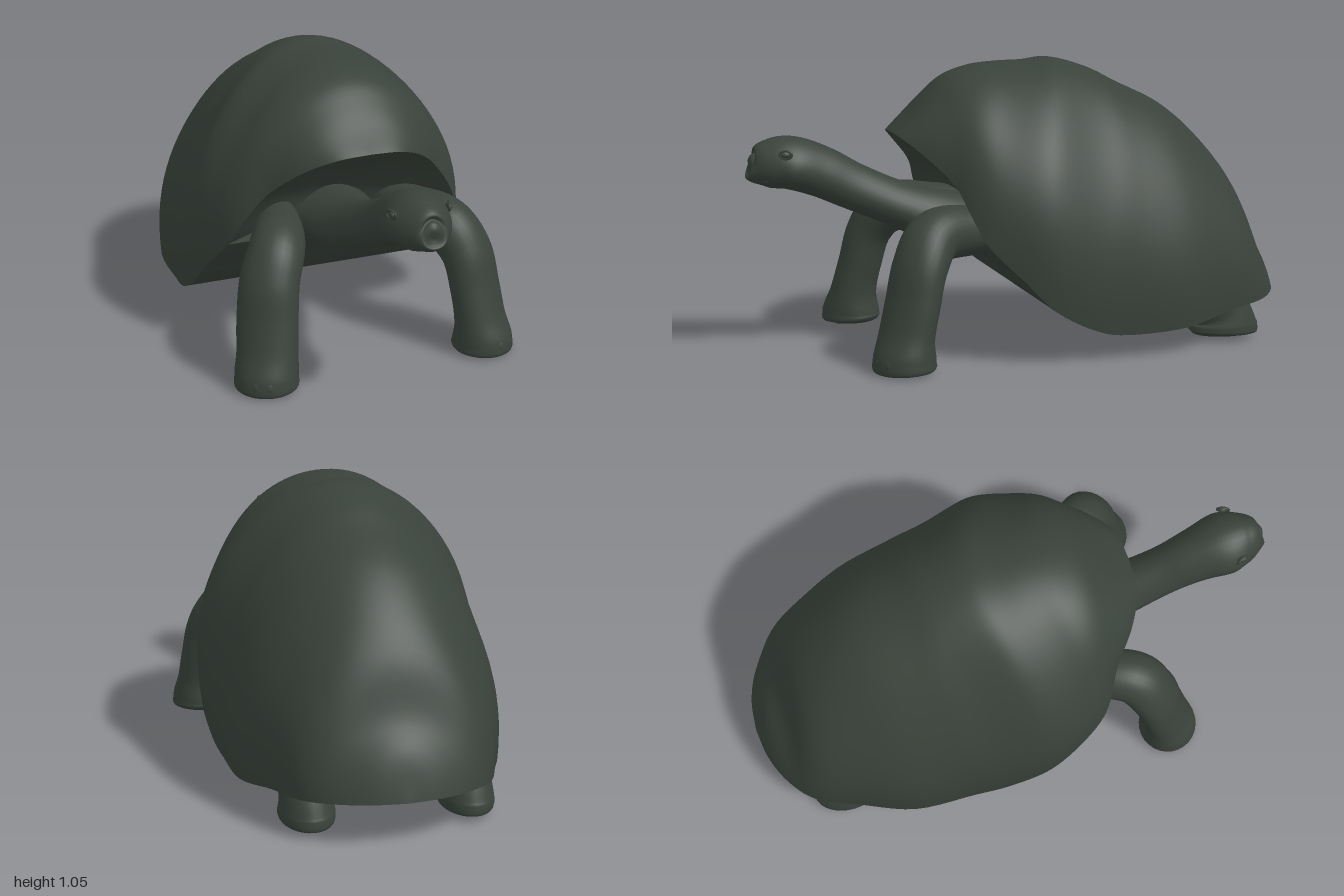
import * as THREE from 'three';
import { mergeVertices } from 'three/addons/utils/BufferGeometryUtils.js';

const skin = new THREE.MeshStandardMaterial({ color: 0x39423a, side: THREE.DoubleSide });
skin.name = 'dark grey green';

// Smooth surface from a function of (u, v)
function grid(nu, nv, point, flip = false) {
  const pos = [], idx = [];
  for (let i = 0; i <= nu; i++)
    for (let j = 0; j <= nv; j++) pos.push(...point(i / nu, j / nv));
  for (let i = 0; i < nu; i++)
    for (let j = 0; j < nv; j++) {
      const a = i * (nv + 1) + j, b = a + nv + 1;
      if (flip) idx.push(a, a + 1, b, b, a + 1, b + 1);
      else idx.push(a, b, a + 1, b, b + 1, a + 1);
    }
  let g = new THREE.BufferGeometry();
  g.setAttribute('position', new THREE.Float32BufferAttribute(pos, 3));
  g.setIndex(idx);
  g = mergeVertices(g, 1e-5);
  g.computeVertexNormals();
  return g;
}

const curve = (pts) =>
  new THREE.CatmullRomCurve3(pts.map((p) => new THREE.Vector3(...p)), false, 'catmullrom');

// Limb through rings [x, y, z, width radius, depth radius]; taper narrows the underside
function limb(rings, across, taper = 0) {
  const path = curve(rings.map((r) => r.slice(0, 3)));
  const radii = curve(rings.map((r) => [r[3], r[4], 0]));
  return grid(rings.length * 6, 28, (u, v) => {
    const c = path.getPoint(u), r = radii.getPoint(u), t = path.getTangent(u);
    const side = across.clone().addScaledVector(t, -across.dot(t)).normalize();
    const n = t.clone().cross(side);
    const a = v * Math.PI * 2;
    c.addScaledVector(side, Math.max(r.x, 0) * Math.cos(a) * (1 + taper * Math.sin(a)));
    c.addScaledVector(n, Math.max(r.y, 0) * Math.sin(a));
    return [c.x, Math.max(c.y, 0), c.z];
  }, true);
}

// Shell stations front to back: rim x, y, z, then ridge y, z, then side bulge
const stations = [
  [0, 0.795, 0.48, 0.795, 0.48, 0], [0.12, 0.785, 0.47, 0.855, 0.415, 0],
  [0.23, 0.735, 0.415, 0.93, 0.345, 0], [0.33, 0.64, 0.33, 0.995, 0.27, 0.05],
  [0.40, 0.54, 0.29, 1.03, 0.17, 0.1], [0.45, 0.43, 0.235, 1.04, 0.07, 0.2],
  [0.495, 0.31, 0.12, 1.042, -0.03, 0.25], [0.51, 0.20, 0.01, 1.05, -0.13, 0.25],
  [0.50, 0.12, -0.14, 1.01, -0.27, 0.22], [0.485, 0.092, -0.27, 0.955, -0.38, 0.2],
  [0.472, 0.10, -0.50, 0.87, -0.55, 0.12], [0.40, 0.135, -0.70, 0.75, -0.69, 0.12],
  [0.335, 0.15, -0.85, 0.60, -0.805, 0.05], [0.24, 0.16, -0.935, 0.42, -0.875, 0],
  [0.12, 0.165, -0.985, 0.31, -0.95, 0], [0, 0.165, -1, 0.165, -1, 0],
];
const rim = curve(stations.map((s) => s.slice(0, 3)));
const ridge = curve(stations.map((s) => [s[5], s[3], s[4]]));

// Domed shell with faint raised plates on its flanks
const dome = () => grid(75, 48, (u, v) => {
  const r = rim.getPoint(u), top = ridge.getPoint(u);
  const a = v * Math.PI, s = Math.sin(a), c = Math.cos(a);
  const plate = 0.012 * Math.sin(u * 34) * Math.sin(u * Math.PI) * Math.sin(a * 2) ** 2;
  return [
    Math.max(r.x, 0) * (c + top.x * s * c ** 5) * (1 + plate),
    r.y + (top.y - r.y) * s * (1 + plate),
    r.z + (top.z - r.z) * s,
  ];
});

// Flat underside spanning the rim behind the neck opening
const underside = () => grid(50, 12, (u, v) => {
  const r = rim.getPoint((5 + 10 * u) / 15);
  return [Math.max(r.x, 0) * (1 - 2 * v), r.y, r.z];
}, true);

// Recessed skin running from the front rim inwards to the root of the neck
const collar = () => grid(48, 10, (u, v) => {
  const k = 2 * u - 1, r = rim.getPoint(Math.abs(k) / 3);
  const sx = Math.sign(k) * Math.max(r.x, 0), w = v * v;
  return [
    sx * (1 - 0.75 * v),
    r.y + (0.46 + (r.y - 0.43) * 0.25 - r.y) * v,
    r.z + (0.12 - r.z) * (0.6 * v + 0.4 * (2 * v - w)),
  ];
});

export function createModel() {
  const model = new THREE.Group();
  model.name = 'tortoise';
  const add = (name, geometry, parent = model) => {
    const mesh = new THREE.Mesh(geometry, skin);
    mesh.name = name;
    parent.add(mesh);
    return mesh;
  };
  const blob = (name, p, s, parent) => {
    const mesh = add(name, new THREE.SphereGeometry(1, 24, 16), parent);
    mesh.position.set(...p);
    mesh.scale.set(...s);
  };

  add('shell', dome());
  add('underside', underside());
  add('collar', collar());

  // Neck running into the head
  add('neckAndHead', limb([
    [0, 0.45, 0.08, 0.17, 0.10], [0, 0.475, 0.30, 0.12, 0.10], [0, 0.53, 0.46, 0.10, 0.085],
    [0, 0.60, 0.62, 0.09, 0.086], [0, 0.66, 0.74, 0.10, 0.093],
    [0, 0.698, 0.85, 0.118, 0.096], [0, 0.697, 0.93, 0.095, 0.087],
    [0, 0.692, 0.98, 0.062, 0.064], [0, 0.695, 0.996, 0.035, 0.04], [0, 0.695, 1.0, 0, 0],
  ], new THREE.Vector3(-1, 0, 0), 0.2));

  // Mouth line
  const lips = curve([[-0.08, 0.655, 0.91], [-0.058, 0.642, 0.95], [0, 0.645, 0.978],
    [0.058, 0.642, 0.95], [0.08, 0.655, 0.91]]);
  add('mouth', new THREE.TubeGeometry(lips, 24, 0.007, 8));

  for (const s of [1, -1]) {
    const side = s > 0 ? 'left' : 'right';

    // Eye with its lid
    blob(side + 'Eye', [s * 0.104, 0.74, 0.885], [0.01, 0.012, 0.018]);
    const lid = add(side + 'EyeLid', new THREE.TorusGeometry(0.021, 0.005, 8, 20));
    lid.position.set(s * 0.105, 0.74, 0.885);
    lid.rotation.y = s * 1.2;
    lid.scale.y = 0.7;

    // Bent front leg
    const front = new THREE.Group();
    front.name = side + 'FrontLeg';
    model.add(front);
    add('leg', limb([
      [s * 0.22, 0.46, 0.06, 0.08, 0.08], [s * 0.265, 0.465, 0.25, 0.09, 0.09],
      [s * 0.325, 0.46, 0.40, 0.10, 0.097], [s * 0.38, 0.37, 0.47, 0.107, 0.085],
      [s * 0.402, 0.24, 0.505, 0.11, 0.08], [s * 0.413, 0.13, 0.53, 0.11, 0.085],
      [s * 0.42, 0.05, 0.54, 0.114, 0.108], [s * 0.42, 0.012, 0.54, 0.104, 0.10],
      [s * 0.42, 0.004, 0.54, 0, 0],
    ], new THREE.Vector3(s * 0.84, 0, -0.55)), front);
    // Toes
    for (let i = 0; i < 4; i++) {
      const a = -0.75 + i * 0.5;
      blob('toe', [s * 0.42 + Math.sin(a) * 0.082, 0.042, 0.54 + Math.cos(a) * 0.082],
        [0.03, 0.038, 0.03], front);
    }

    // Short hind leg
    add(side + 'HindLeg', limb([
      [s * 0.25, 0.27, -0.62, 0.07, 0.07], [s * 0.28, 0.17, -0.68, 0.09, 0.10],
      [s * 0.285, 0.10, -0.715, 0.092, 0.112], [s * 0.285, 0.055, -0.722, 0.098, 0.132],
      [s * 0.285, 0.028, -0.722, 0.085, 0.12], [s * 0.285, 0.022, -0.722, 0, 0],
    ], new THREE.Vector3(s, 0, 0)));
  }
  return model;
}
